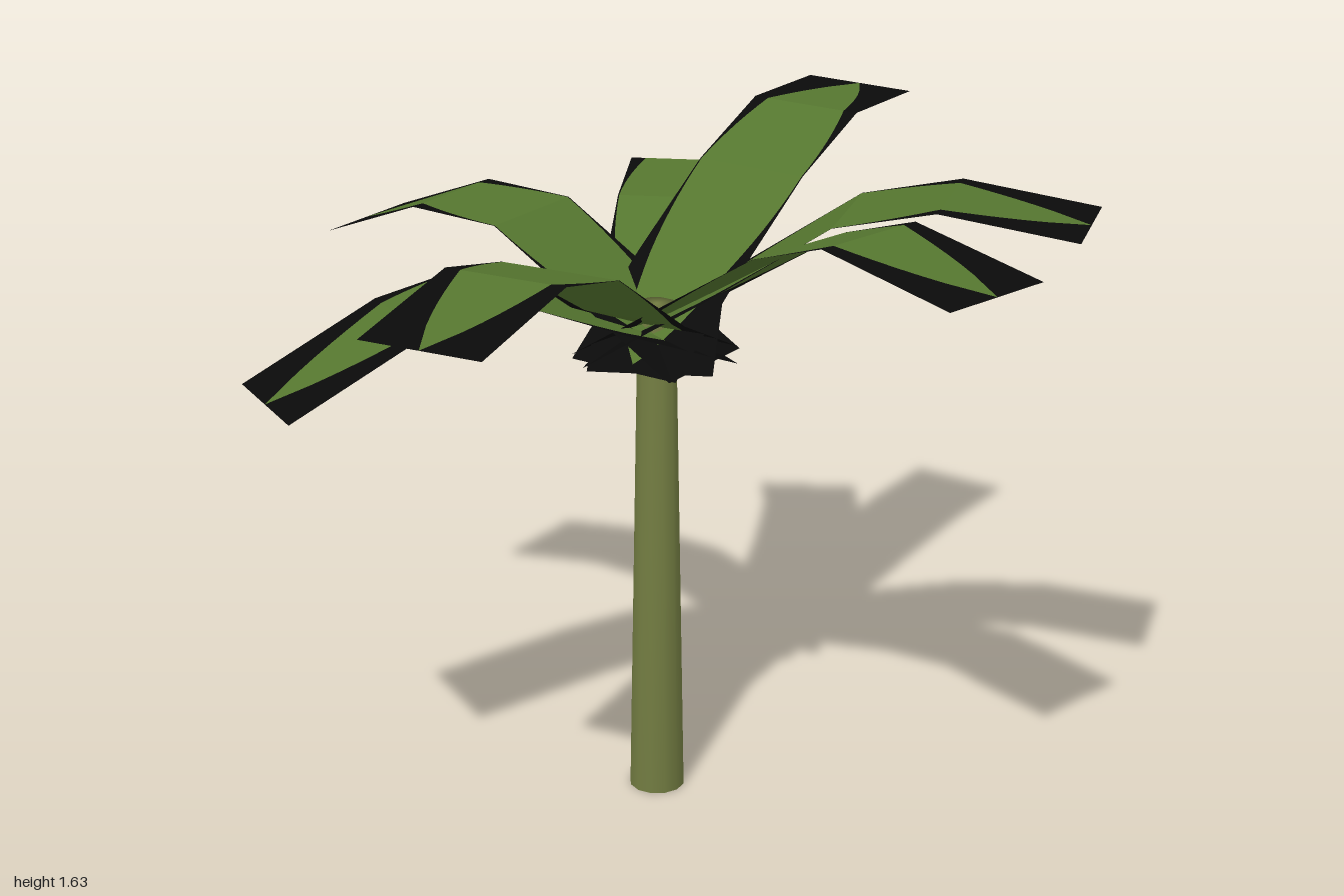
import * as THREE from 'three';
import { mergeVertices } from 'three/addons/utils/BufferGeometryUtils.js';

const CENTER = { x: 0.065, z: -0.078 };
const HALF_WIDTH = 0.15;
const STEPS = 7; // slices per straight frond section

// Each frond: heading (x, z) and its midline as [distance from trunk axis, height]
const FRONDS = [
  { name: 'backFrond', dir: [-0.137, -0.889], line: [[-0.14, 1.16], [0.12, 1.31], [0.37, 1.455], [0.62, 1.46], [0.9, 1.35]] },
  { name: 'backLeftFrond', dir: [0.775, -0.572], line: [[-0.14, 1.16], [0.15, 1.31], [0.42, 1.43], [0.68, 1.455], [0.963, 1.32]] },
  { name: 'leftFrond', dir: [0.915, -0.142], line: [[-0.14, 1.16], [0.14, 1.36], [0.41, 1.53], [0.66, 1.635], [0.926, 1.635]] },
  { name: 'frontLeftFrond', dir: [0.455, 0.918], line: [[-0.14, 1.16], [0.17, 1.36], [0.46, 1.56], [0.7, 1.615], [1.025, 1.575]] },
  { name: 'frontFrond', dir: [-0.065, 1.048], line: [[-0.14, 1.16], [0.18, 1.36], [0.47, 1.54], [0.68, 1.612], [1.05, 1.56]] },
  { name: 'frontRightFrond', dir: [-1.022, 0.298], line: [[-0.14, 1.16], [0.15, 1.3], [0.47, 1.505], [0.71, 1.56], [1.065, 1.505]] },
  { name: 'backRightFrond', dir: [-0.942, -0.322], line: [[-0.14, 1.16], [0.15, 1.275], [0.44, 1.4], [0.66, 1.36], [0.995, 1.205]] },
];

// Flat-faced strip between two edges, each given as a fraction of the half width
function stripGeometry(line, edgeA, edgeB) {
  const rows = [];
  const sections = line.length - 1;
  for (let i = 0; i <= sections * STEPS; i++) {
    const k = Math.min(Math.floor(i / STEPS), sections - 1);
    const f = i / STEPS - k;
    const r = THREE.MathUtils.lerp(line[k][0], line[k + 1][0], f);
    const y = THREE.MathUtils.lerp(line[k][1], line[k + 1][1], f);
    const t = i / (sections * STEPS);
    rows.push([edgeA(t), edgeB(t)].map((e) => [e * HALF_WIDTH, y, r]));
  }
  const pos = [];
  for (let i = 0; i < rows.length - 1; i++) {
    const [a, b] = rows[i];
    const [c, d] = rows[i + 1];
    pos.push(...a, ...c, ...b, ...b, ...c, ...d);
  }
  const geo = new THREE.BufferGeometry();
  geo.setAttribute('position', new THREE.Float32BufferAttribute(pos, 3));
  geo.computeVertexNormals();
  return geo;
}

export function createModel() {
  const model = new THREE.Group();
  model.name = 'palmTree';

  const bark = new THREE.MeshStandardMaterial({ name: 'bark', color: 0x737d42 });
  const leafGreen = new THREE.MeshStandardMaterial({ name: 'leafGreen', color: 0x55762f, side: THREE.DoubleSide });
  const black = new THREE.MeshStandardMaterial({ name: 'leafBorder', color: 0x0a0a0a, side: THREE.DoubleSide });

  // Tapered trunk with its normals blended over the end caps
  const height = 1.29;
  let trunkGeo = new THREE.CylinderGeometry(0.047, 0.07, height, 12);
  trunkGeo.deleteAttribute('normal');
  trunkGeo.deleteAttribute('uv');
  trunkGeo = mergeVertices(trunkGeo);
  trunkGeo.computeVertexNormals();
  const trunk = new THREE.Mesh(trunkGeo, bark);
  trunk.name = 'trunk';
  trunk.position.set(CENTER.x, height / 2, CENTER.z);
  model.add(trunk);

  // Fronds: a pointed green blade set in a rectangular black border
  const blade = (t) => Math.pow(Math.max(0, Math.sin(Math.PI * Math.min(t / 0.985, 1))), 0.7) * 0.98;
  for (const { name, dir, line } of FRONDS) {
    const frond = new THREE.Group();
    frond.name = name;
    const parts = [
      ['blade', leafGreen, (t) => -blade(t), blade],
      ['borderRight', black, () => -1, (t) => -blade(t)],
      ['borderLeft', black, blade, () => 1],
    ];
    for (const [part, material, a, b] of parts) {
      const mesh = new THREE.Mesh(stripGeometry(line, a, b), material);
      mesh.name = part;
      frond.add(mesh);
    }
    frond.position.set(CENTER.x, 0, CENTER.z);
    frond.rotation.y = Math.atan2(dir[0], dir[1]);
    model.add(frond);
  }
  return model;
}
